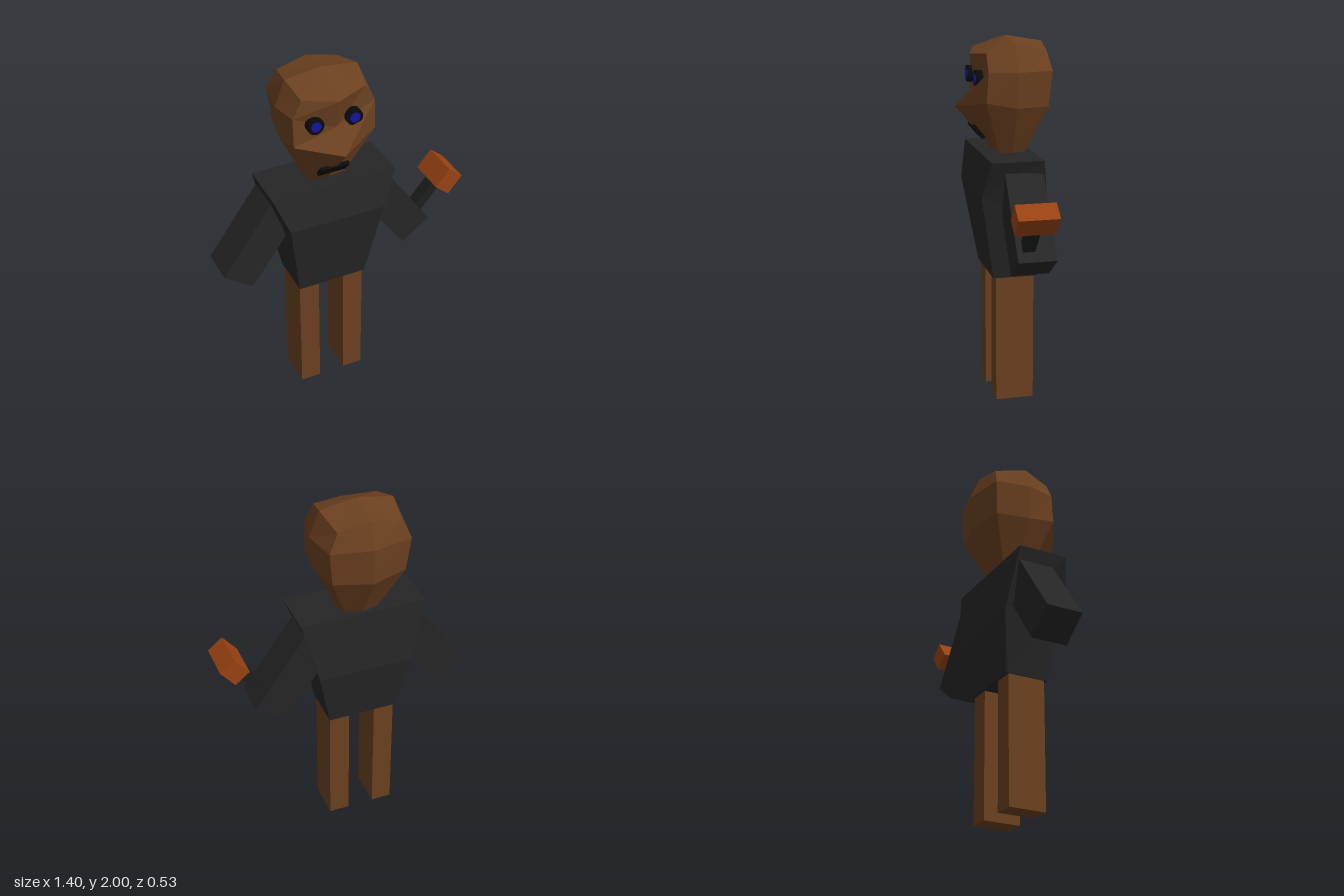
import * as THREE from 'three';

const mat = (color) => new THREE.MeshStandardMaterial({ color, flatShading: true });
const SKIN = mat(0x6b4020), SHIRT = mat(0x262626), BLACK = mat(0x0b0b0b);
const HANDLE = mat(0x1c1f1e), HAMMER = mat(0x9a4212), IRIS = mat(0x1414a0);
const MID = -0.09; // the body's centre line

function add(parent, name, geometry, material, x = 0, y = 0, z = 0) {
  const mesh = new THREE.Mesh(geometry, material);
  mesh.name = name;
  mesh.position.set(x, y, z);
  parent.add(mesh);
  return mesh;
}

// Completes a half ring (front to back on +x) with its mirror image
function mirrorRing(half) {
  const other = half.filter((p) => p[0] > 0).reverse().map(([x, y, z]) => [-x, y, z]);
  return [...half, ...other];
}

// Faceted skin over half rings listed from bottom to top, closed with fans
function loft(halves, bottom, top) {
  const rings = halves.map(mirrorRing), n = rings[0].length, v = [];
  const tri = (...points) => points.forEach((p) => v.push(...p));
  for (let i = 0; i < n; i++) {
    const j = (i + 1) % n;
    for (let r = 0; r < rings.length - 1; r++) {
      const a = rings[r], b = rings[r + 1];
      tri(a[i], a[j], b[j]);
      tri(a[i], b[j], b[i]);
    }
    tri(bottom, rings[0][j], rings[0][i]);
    tri(top, rings[rings.length - 1][i], rings[rings.length - 1][j]);
  }
  const g = new THREE.BufferGeometry();
  g.setAttribute('position', new THREE.Float32BufferAttribute(v, 3));
  g.computeVertexNormals();
  return g;
}

export function createModel() {
  const model = new THREE.Group();
  model.name = 'figure';
  const body = new THREE.Group();
  body.name = 'body';
  body.position.x = MID;
  model.add(body);

  // Torso: wide shoulders, chest ridge higher than the back ridge
  add(body, 'torso', loft([
    [[0.195, 0.71, 0.1], [0.195, 0.71, -0.14]],
    [[0.27, 1.18, 0.18], [0.265, 1.04, -0.185]],
    [[0.35, 1.38, 0.14], [0.35, 1.38, -0.14]],
  ], [0, 0.71, -0.02], [0, 1.38, 0]), SHIRT);

  // Head: chin, cheeks with the nose in front, brow, crown
  const head = new THREE.Group();
  head.name = 'head';
  body.add(head);
  add(head, 'skull', loft([
    [[0, 1.38, 0.055], [0.1, 1.38, 0.045], [0.11, 1.38, -0.03], [0.09, 1.38, -0.1], [0, 1.38, -0.12]],
    [[0, 1.63, 0.265], [0.225, 1.67, 0.14], [0.235, 1.64, -0.02], [0.2, 1.64, -0.2], [0, 1.63, -0.255]],
    [[0, 1.74, 0.15], [0.225, 1.83, 0.13], [0.255, 1.83, -0.02], [0.22, 1.83, -0.215], [0, 1.83, -0.262]],
    [[0, 1.905, 0.185], [0.175, 1.925, 0.13], [0.2, 1.97, -0.02], [0.17, 1.93, -0.195], [0, 1.965, -0.21]],
  ], [0, 1.38, -0.03], [0, 2, -0.015]), SKIN);

  // Eyes: dark discs with a blue iris
  for (const side of [-1, 1]) {
    const x = -0.012 + side * 0.106;
    const disc = (r, depth) => new THREE.CylinderGeometry(r, r, depth, 20).rotateX(Math.PI / 2);
    add(head, 'eyeRim', disc(0.045, 0.06), BLACK, x, 1.785, 0.145);
    add(head, 'iris', disc(0.027, 0.06), IRIS, x, 1.785, 0.149);
  }

  // Mouth: thin plate leaning along the jaw
  const mouth = add(head, 'mouth', new THREE.BoxGeometry(0.155, 0.082, 0.02), BLACK, -0.013, 1.492, 0.146);
  mouth.rotation.x = 0.69;

  // Legs and arms, mirrored about the centre line
  for (const side of [-1, 1]) {
    add(body, 'leg', new THREE.BoxGeometry(0.115, 0.73, 0.21), SKIN, side * 0.132, 0.365, -0.02);
    const arm = add(body, 'arm', new THREE.BoxGeometry(0.197, 0.54, 0.205), SHIRT, side * 0.375, 1.077, -0.037);
    arm.rotation.z = side * 0.623;
  }

  // Hammer held in the left hand
  const hammer = new THREE.Group();
  hammer.name = 'hammer';
  hammer.position.set(0.615, 1.165, 0.002);
  hammer.rotation.z = -0.68;
  model.add(hammer);
  add(hammer, 'hammerHandle', new THREE.BoxGeometry(0.06, 0.3, 0.066), HANDLE, 0, -0.15, 0);
  add(hammer, 'hammerHead', new THREE.BoxGeometry(0.103, 0.125, 0.215), HAMMER);

  return model;
}
